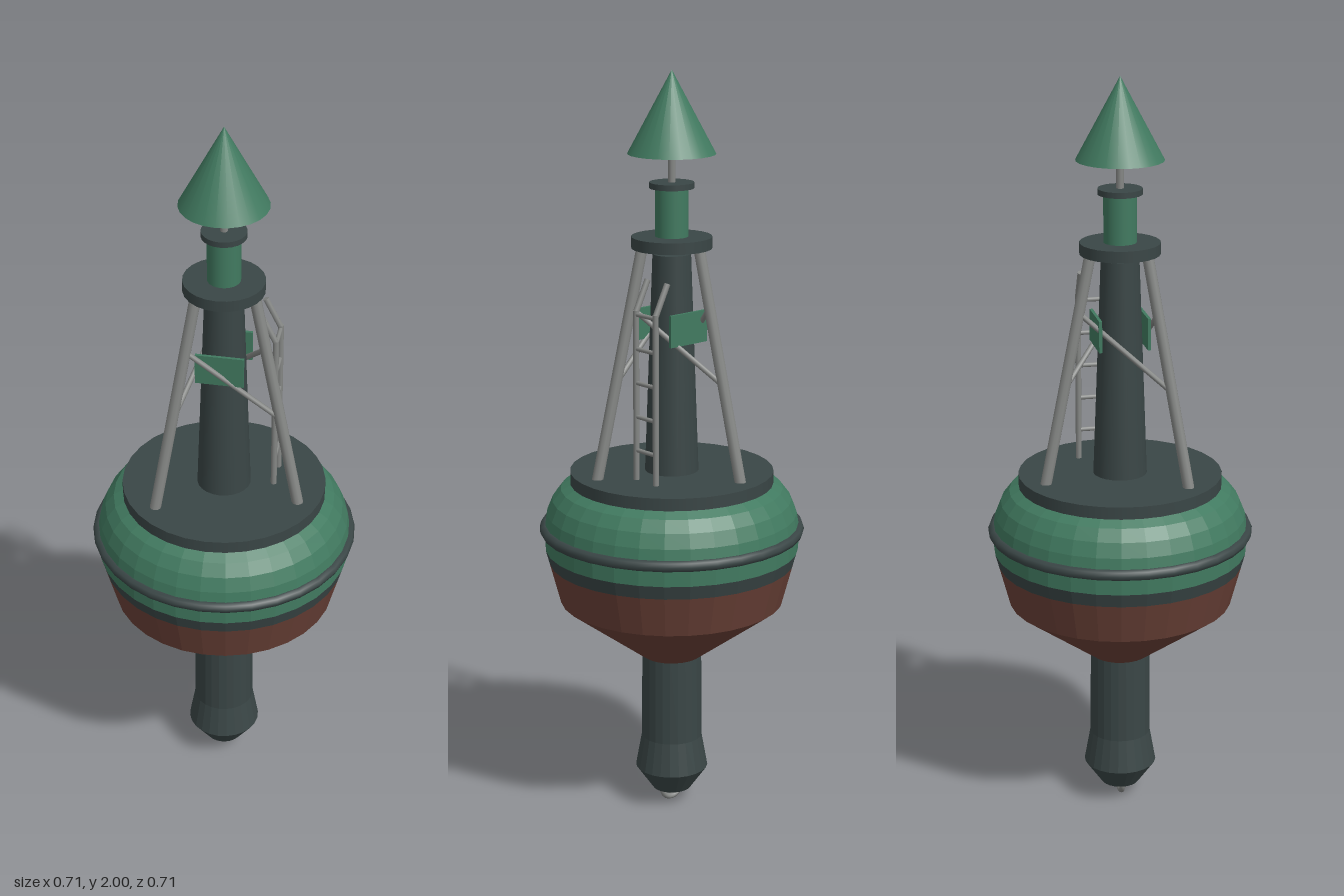
import * as THREE from 'three';

const mat = (name, color, extra = {}) => new THREE.MeshStandardMaterial({ name, color, ...extra });

export function createModel() {
  const root = new THREE.Group();
  root.name = 'navigationBuoy';
  const green = mat('buoyGreen', 0x417a60);
  const coneGreen = mat('buoyGreenOpen', 0x417a60, { side: THREE.DoubleSide });
  const dark = mat('darkRubber', 0x3a4646);
  const brown = mat('antifoulingBrown', 0x6a4137);
  const steel = mat('galvanisedSteel', 0x868886);

  const add = (name, geo, material, parent = root) => {
    const mesh = new THREE.Mesh(geo, material);
    mesh.name = name;
    parent.add(mesh);
    return mesh;
  };
  const facet = (geo) => {
    const flat = geo.toNonIndexed();
    flat.computeVertexNormals();
    return flat;
  };
  const lathe = (name, profile, material, sides = 32) =>
    add(name, facet(new THREE.LatheGeometry(profile.map(([r, y]) => new THREE.Vector2(r, y)), sides)), material);
  const disc = (name, rTop, rBottom, y0, y1, material, sides = 24) => {
    const mesh = add(name, new THREE.CylinderGeometry(rTop, rBottom, y1 - y0, sides), material);
    mesh.position.y = (y0 + y1) / 2;
    return mesh;
  };
  const up = new THREE.Vector3(0, 1, 0);
  const rod = (name, a, b, r, parent, sides = 8) => {
    const dir = b.clone().sub(a);
    const mesh = add(name, new THREE.CylinderGeometry(r, r, dir.length(), sides), steel, parent);
    mesh.position.copy(a).add(b).multiplyScalar(0.5);
    mesh.quaternion.setFromUnitVectors(up, dir.normalize());
    return mesh;
  };
  const V = (x, y, z) => new THREE.Vector3(x, y, z);

  // Counterweight tail and mooring eye
  lathe('tail', [[0, 0.04], [0.052, 0.04], [0.098, 0.105], [0.082, 0.195], [0.08, 0.44]], dark, 24);
  const eye = add('mooringEye', new THREE.TorusGeometry(0.035, 0.008, 8, 20), steel);
  eye.position.y = 0.043;

  // Float hull in coloured bands
  lathe('hullBottom', [[0.078, 0.428], [0.299, 0.59], [0.328, 0.7]], brown);
  lathe('waterline', [[0.328, 0.7], [0.338, 0.737]], dark);
  lathe('hullTop', [[0.338, 0.737], [0.339, 0.80], [0.333, 0.835], [0.318, 0.872], [0.295, 0.902], [0.262, 0.922]], green);
  const fender = add('fender', new THREE.TorusGeometry(0.338, 0.015, 8, 32), dark);
  fender.rotation.x = Math.PI / 2;
  fender.position.y = 0.792;
  disc('deck', 0.27, 0.27, 0.917, 0.95, dark, 32);

  // Central column, platform, lantern and topmark
  disc('column', 0.05, 0.071, 0.95, 1.53, dark);
  disc('platform', 0.105, 0.105, 1.545, 1.575, dark);
  disc('lantern', 0.043, 0.043, 1.575, 1.7, green);
  disc('lanternCap', 0.058, 0.058, 1.7, 1.715, dark);
  disc('topmarkPole', 0.01, 0.01, 1.715, 1.93, steel, 8);
  const cone = add('topmarkCone', new THREE.ConeGeometry(0.114, 0.212, 24, 1, true), coneGreen);
  cone.position.y = 1.894;

  // Three leaning legs, each pair joined by one diagonal brace
  const tower = new THREE.Group();
  tower.name = 'tower';
  root.add(tower);
  const legPoint = (i, y) => {
    const a = THREE.MathUtils.degToRad(16 + 120 * i);
    const r = THREE.MathUtils.mapLinear(y, 0.95, 1.55, 0.215, 0.085);
    return V(r * Math.cos(a), y, r * Math.sin(a));
  };
  for (let i = 0; i < 3; i++) {
    rod('leg', legPoint(i, 0.945), legPoint(i, 1.55), 0.015, tower, 10);
    rod('brace', legPoint(i, 1.2), legPoint((i + 1) % 3, 1.4), 0.007, tower);
  }

  // Sign plates in front of and behind the column
  for (const z of [0.064, -0.064]) {
    const plate = add('signPlate', new THREE.BoxGeometry(0.126, 0.084, 0.008), green);
    plate.position.set(0, 1.342, z);
  }

  // Ladder with rails bent towards the tower
  const ladder = new THREE.Group();
  ladder.name = 'ladder';
  root.add(ladder);
  for (const z of [-0.086, -0.01]) {
    rod('rail', V(0.132, 0.945, z), V(0.132, 1.4, z), 0.008, ladder);
    rod('railTop', V(0.132, 1.395, z), V(0.092, 1.475, z), 0.008, ladder);
  }
  for (let i = 0; i < 5; i++) {
    const y = 1.03 + i * 0.09;
    rod('rung', V(0.132, y, -0.086), V(0.132, y, -0.01), 0.006, ladder);
  }
  return root;
}
